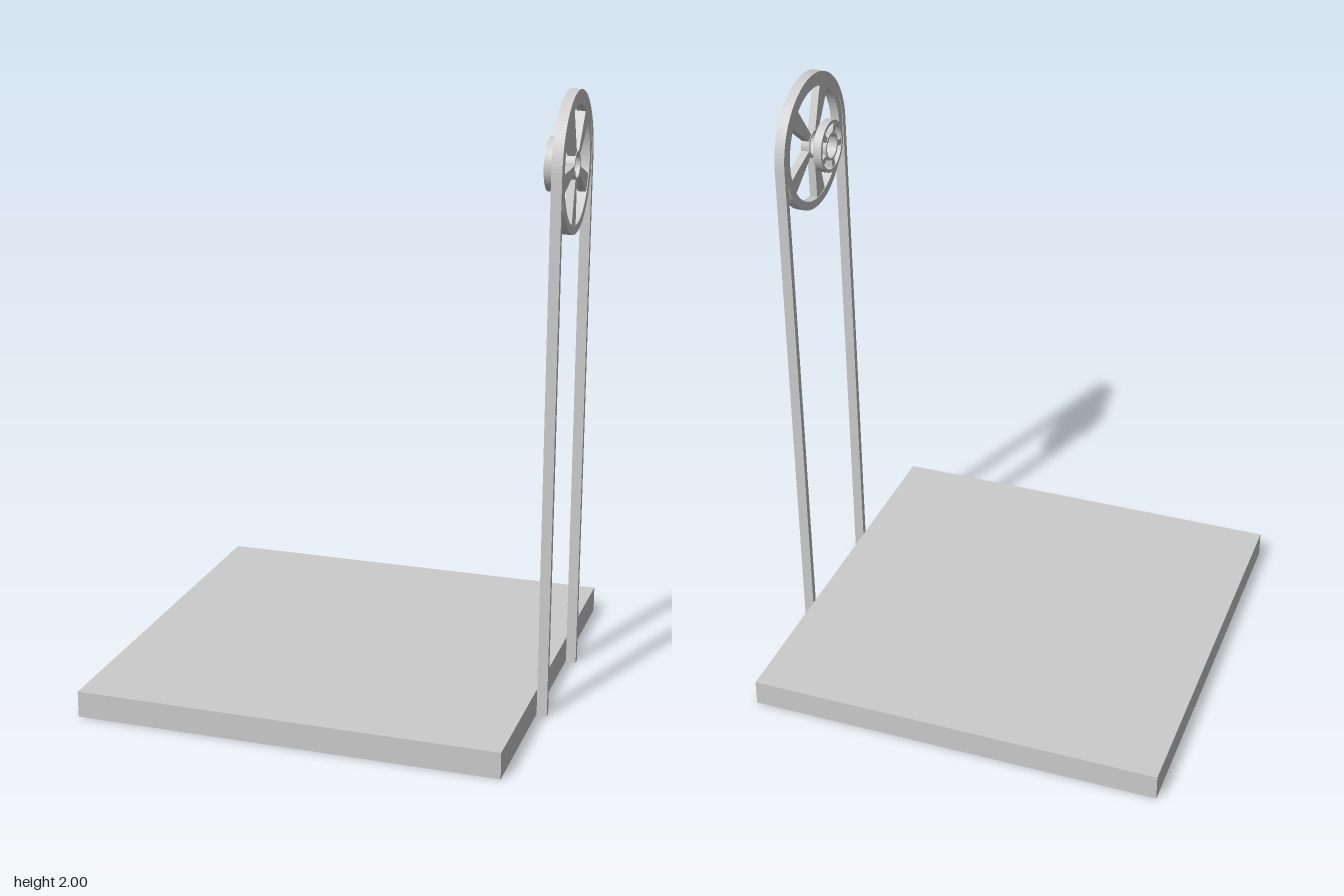
import * as THREE from 'three';

const material = new THREE.MeshStandardMaterial({ color: 0xcccccc });
const AXLE_Y = 1.765;

// Extrude a profile (drawn as seen from +x) between two x positions
function slab(shape, x0, x1, name) {
  const geometry = new THREE.ExtrudeGeometry(shape, { depth: x1 - x0, bevelEnabled: false, curveSegments: 32 });
  geometry.rotateY(Math.PI / 2);
  geometry.translate(x0, 0, 0);
  const mesh = new THREE.Mesh(geometry, material);
  mesh.name = name;
  return mesh;
}

function ring(outer, inner) {
  const shape = new THREE.Shape().absarc(0, 0, outer, 0, Math.PI * 2, false);
  shape.holes.push(new THREE.Path().absarc(0, 0, inner, 0, Math.PI * 2, true));
  return shape;
}

// Rim, hub ring and five spokes that widen towards the rim
function wheel(name, x0, x1, { outer, inner, hub, bore, rootHalf, tipHalf }) {
  const group = new THREE.Group();
  group.name = name;
  group.position.y = AXLE_Y;
  group.add(slab(ring(outer, inner), x0, x1, 'rim'));
  group.add(slab(ring(hub, bore), x0, x1, 'hub'));
  const r0 = hub - 0.004, r1 = inner + 0.004;
  for (let i = 0; i < 5; i++) {
    const spoke = new THREE.Shape([
      new THREE.Vector2(r0, -rootHalf), new THREE.Vector2(r1, -tipHalf),
      new THREE.Vector2(r1, tipHalf), new THREE.Vector2(r0, rootHalf),
    ]);
    const mesh = slab(spoke, x0 + 0.002, x1 - 0.002, 'spoke');
    mesh.rotation.x = THREE.MathUtils.degToRad(-(-98 + i * 72));
    // A turn about -x is counter-clockwise in profile space seen from +x
    mesh.rotation.x *= -1;
    group.add(mesh);
  }
  return group;
}

export function createModel() {
  const model = new THREE.Group();
  model.name = 'pulleyStand';

  // Flat square base
  const base = new THREE.Mesh(new THREE.BoxGeometry(1.408, 0.088, 1.412), material);
  base.name = 'base';
  base.position.set(-0.018, 0.044, 0);
  model.add(base);

  // Belt running up one side, over the wheel and down the other
  const outer = 0.235, inner = 0.215;
  const belt = new THREE.Shape();
  belt.moveTo(outer, 0);
  belt.lineTo(outer, AXLE_Y);
  belt.absarc(0, AXLE_Y, outer, 0, Math.PI, false);
  belt.lineTo(-outer, 0);
  belt.lineTo(-inner, 0);
  belt.lineTo(-inner, AXLE_Y);
  belt.absarc(0, AXLE_Y, inner, Math.PI, 0, true);
  belt.lineTo(inner, 0);
  model.add(slab(belt, 0.688, 0.722, 'belt'));

  // Large wheel inside the belt and the small wheel behind it
  model.add(wheel('largeWheel', 0.69, 0.72,
    { outer: 0.217, inner: 0.189, hub: 0.046, bore: 0.038, rootHalf: 0.012, tipHalf: 0.031 }));
  model.add(wheel('smallWheel', 0.631, 0.659,
    { outer: 0.086, inner: 0.075, hub: 0.046, bore: 0.038, rootHalf: 0.008, tipHalf: 0.012 }));

  return model;
}
